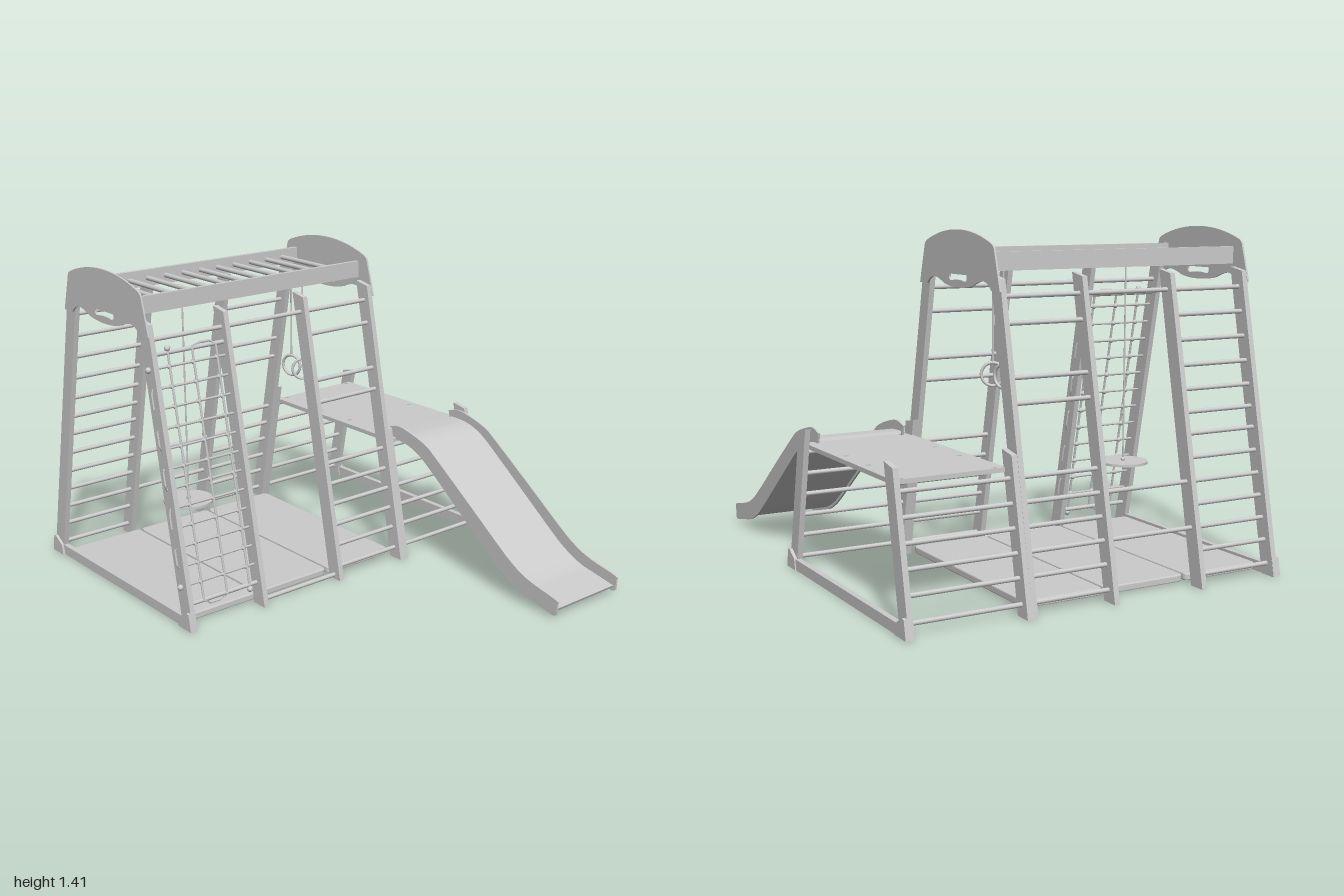
import * as THREE from 'three';

export function createModel() {
  const root = new THREE.Group();
  root.name = 'climbingFrame';
  const mat = new THREE.MeshStandardMaterial({ color: 0xcccccc, side: THREE.DoubleSide });
  const MID = -0.435;
  const V = (x, y, z) => new THREE.Vector3(x, y, z);
  // centre line of the sloping posts; s = -1 for the -x side, 1 for the +x side
  const postX = (s, y) => MID + s * (0.528 - 0.2 * y);

  const add = (name, geo, x = 0, y = 0, z = 0) => {
    const m = new THREE.Mesh(geo, mat);
    m.name = name;
    m.position.set(x, y, z);
    root.add(m);
    return m;
  };
  const box = (name, w, h, d, x, y, z) => add(name, new THREE.BoxGeometry(w, h, d), x, y, z);
  const shapeOf = pts => new THREE.Shape(pts.map(p => new THREE.Vector2(p[0], p[1])));
  // plate in the xy plane with its thickness centred on z
  const plate = (name, shape, t, z) =>
    add(name, new THREE.ExtrudeGeometry(shape, { depth: t, bevelEnabled: false, curveSegments: 16 }), 0, 0, z - t / 2);
  const rod = (name, a, b, r, sides = 12) => {
    const d = b.clone().sub(a);
    const m = add(name, new THREE.CylinderGeometry(r, r, d.length(), sides));
    m.position.copy(a).add(b).multiplyScalar(0.5);
    m.quaternion.setFromUnitVectors(V(0, 1, 0), d.normalize());
    return m;
  };
  const rung = (s, y, z0, z1) => rod('rung', V(postX(s, y), y, z0), V(postX(s, y), y, z1), 0.0095);
  // rope following straight stretches between points
  const rope = (name, pts, r) => {
    const path = new THREE.CurvePath();
    for (let i = 1; i < pts.length; i++) path.add(new THREE.LineCurve3(pts[i - 1], pts[i]));
    add(name, new THREE.TubeGeometry(path, pts.length * 12, r, 6));
    for (const p of [pts[0], pts[pts.length - 1]]) add('ropeKnot', new THREE.SphereGeometry(0.013, 10, 8), p.x, p.y, p.z);
  };

  // sloping posts, tall and short
  const posts = [[0.82, 1.25], [0.455, 1.25], [0.037, 1.25], [-0.327, 1.25], [-0.35, 0.61], [-0.835, 0.61]];
  for (const s of [-1, 1]) {
    for (const [z, h] of posts) {
      const o = 0.036;
      plate('post', shapeOf([
        [postX(s, 0) - o, 0], [postX(s, 0) + o, 0],
        [postX(s, h) + o, h - (s > 0 ? 0.014 : 0)], [postX(s, h) - o, h - (s < 0 ? 0.014 : 0)],
      ]), 0.023, z);
    }
    // corner feet
    for (const z of [0.826, -0.843]) {
      plate('foot', shapeOf([[-0.565, 0.003], [-0.55, 0.078], [-0.535, 0.08], [-0.485, 0.05], [-0.475, 0.003]]
        .map(([x, y]) => [MID - s * x, y])), 0.034, z);
    }
  }
  for (const z of [0.82, -0.843]) box('groundBar', 1.0, 0.045, 0.024, MID, 0.025, z);

  // side rungs
  const all = [0.05, 0.145, 0.235, 0.325, 0.415, 0.507, 0.6, 0.685, 0.775, 0.87, 0.97, 1.07, 1.17];
  all.forEach(y => rung(-1, y, 0.455, 0.82));
  for (const s of [-1, 1]) {
    all.filter(y => ![0.6, 0.685, 0.97].includes(y)).forEach(y => rung(s, y, -0.327, 0.037));
    all.filter(y => y < 0.55).forEach(y => rung(s, y, -0.835, -0.35));
    rung(s, 1.17, 0.037, 0.455);
  }
  [0.235, 0.415].forEach(y => rung(-1, y, 0.037, 0.455));
  rung(1, 0.02, 0.037, 0.455);
  [0.1, 1.11, 1.17].forEach(y => rung(1, y, 0.455, 0.82));

  // climbing net: one rope weaving across, one weaving up and down
  const across = [], rows = [];
  for (let i = 0; i < 12; i++) {
    const y = 1.055 - i * 0.0797, x = postX(1, y);
    rows.push(y);
    const ends = [V(x, y, 0.838), V(x, y, 0.438)];
    across.push(...(i % 2 ? ends.reverse() : ends));
  }
  rope('netCrossRope', across, 0.0055);
  const cols = [0.74, 0.623, 0.507], upright = [];
  cols.forEach((z, i) => {
    const ends = [V(postX(1, 1.128) + 0.006, 1.128, z), V(postX(1, 0.083) + 0.006, 0.083, z)];
    upright.push(...(i % 2 ? ends.reverse() : ends));
  });
  rope('netUprightRope', upright, 0.0055);
  for (const y of rows) for (const z of cols) add('netKnot', new THREE.SphereGeometry(0.011, 8, 6), postX(1, y), y, z);

  // arched end boards with a grip slot
  const board = new THREE.Shape();
  board.moveTo(MID - 0.327, 1.19);
  board.lineTo(MID - 0.283, 1.345);
  board.quadraticCurveTo(MID - 0.28, 1.358, MID - 0.262, 1.365);
  board.bezierCurveTo(MID - 0.1, 1.428, MID + 0.1, 1.428, MID + 0.262, 1.365);
  board.quadraticCurveTo(MID + 0.28, 1.358, MID + 0.283, 1.345);
  board.lineTo(MID + 0.327, 1.19);
  board.lineTo(MID + 0.262, 1.19);
  board.bezierCurveTo(MID + 0.22, 1.24, MID + 0.17, 1.22, MID + 0.12, 1.2);
  board.bezierCurveTo(MID + 0.06, 1.182, MID - 0.06, 1.182, MID - 0.12, 1.2);
  board.bezierCurveTo(MID - 0.17, 1.22, MID - 0.22, 1.24, MID - 0.262, 1.19);
  board.closePath();
  const slot = new THREE.Path();
  slot.moveTo(MID - 0.07, 1.238);
  slot.lineTo(MID + 0.07, 1.238);
  slot.quadraticCurveTo(MID + 0.08, 1.215, MID + 0.055, 1.212);
  slot.quadraticCurveTo(MID, 1.222, MID - 0.055, 1.212);
  slot.quadraticCurveTo(MID - 0.08, 1.215, MID - 0.07, 1.238);
  board.holes.push(slot);
  for (const z of [0.835, -0.343]) plate('endBoard', board, 0.008, z);

  // overhead ladder
  for (const s of [-1, 1]) box('overheadRail', 0.019, 0.072, 1.17, MID + s * 0.221, 1.297, 0.246);
  for (let i = 0; i < 12; i++) {
    const z = -0.25 + i * 0.0925;
    rod('overheadRung', V(MID - 0.22, 1.297, z), V(MID + 0.22, 1.297, z), 0.0105);
  }

  // floor mats
  for (const [z0, z1] of [[0.81, 0.447], [0.437, 0.058], [0.048, -0.31]]) {
    const w = 0.465, h = (z0 - z1) / 2, r = 0.025;
    const s = new THREE.Shape();
    s.moveTo(-w + r, -h).lineTo(w - r, -h).quadraticCurveTo(w, -h, w, -h + r).lineTo(w, h - r).quadraticCurveTo(w, h, w - r, h)
      .lineTo(-w + r, h).quadraticCurveTo(-w, h, -w, h - r).lineTo(-w, -h + r).quadraticCurveTo(-w, -h, -w + r, -h);
    const m = add('floorMat', new THREE.ExtrudeGeometry(s, {
      depth: 0.02, bevelThickness: 0.005, bevelSize: 0.005, bevelOffset: -0.005, bevelSegments: 2,
    }), -0.42, 0.012, (z0 + z1) / 2);
    m.rotation.x = -Math.PI / 2;
  }

  // platform with bolt holes
  const deck = shapeOf([[-0.83, 0.355], [0.005, 0.355], [0.005, 0.825], [-0.83, 0.825]]);
  for (const x of [-0.815, -0.54, -0.335]) for (const y of [0.4, 0.787])
    deck.holes.push(new THREE.Path().absarc(x, y, 0.01, 0, Math.PI * 2, true));
  add('platform', new THREE.ExtrudeGeometry(deck, { depth: 0.018, bevelEnabled: false }), 0, 0.525, 0).rotation.x = -Math.PI / 2;

  // slide: two curved sides and a curved bed
  const curve = pts => new THREE.SplineCurve(pts.map(p => new THREE.Vector2(p[0], p[1]))).getPoints(48);
  const low = [[-0.03, 0.535], [0.06, 0.53], [0.14, 0.505], [0.22, 0.455], [0.42, 0.303], [0.62, 0.15], [0.7, 0.095], [0.79, 0.053], [0.88, 0.033], [0.975, 0.013]];
  const high = [[-0.045, 0.585], [0.02, 0.6], [0.1, 0.586], [0.2, 0.553], [0.28, 0.5], [0.48, 0.355], [0.66, 0.222], [0.75, 0.162], [0.84, 0.122], [0.985, 0.088], [0.998, 0.075]];
  const side = new THREE.Shape([...curve(low), new THREE.Vector2(0.995, 0.02), ...curve(high).reverse()]);
  for (const z of [-0.395, -0.777]) plate('slideSide', side, 0.009, z);
  const top = curve(low.map(([x, y]) => [x + 0.008, y + 0.026]));
  const under = curve(low.map(([x, y]) => [x + 0.003, y + 0.014])).reverse();
  plate('slideBed', new THREE.Shape([...top, ...under]), 0.376, -0.586);

  // hanging rings
  for (const [x, a] of [[-0.468, 0.3], [-0.385, 0.98]]) {
    rod('ringRope', V(x, 1.3, -0.16), V(x, 0.875, -0.16), 0.004, 6);
    add('ring', new THREE.TorusGeometry(0.047, 0.0065, 10, 32), x, 0.828, -0.16).rotation.y = a;
  }

  // disc swing
  rod('swingRope', V(-0.295, 1.3, 0.55), V(-0.295, 0.38, 0.55), 0.004, 6);
  add('swingSeat', new THREE.CylinderGeometry(0.108, 0.108, 0.011, 40), -0.295, 0.385, 0.55);
  add('swingKnot', new THREE.SphereGeometry(0.01, 10, 8), -0.295, 0.396, 0.55);

  return root;
}
